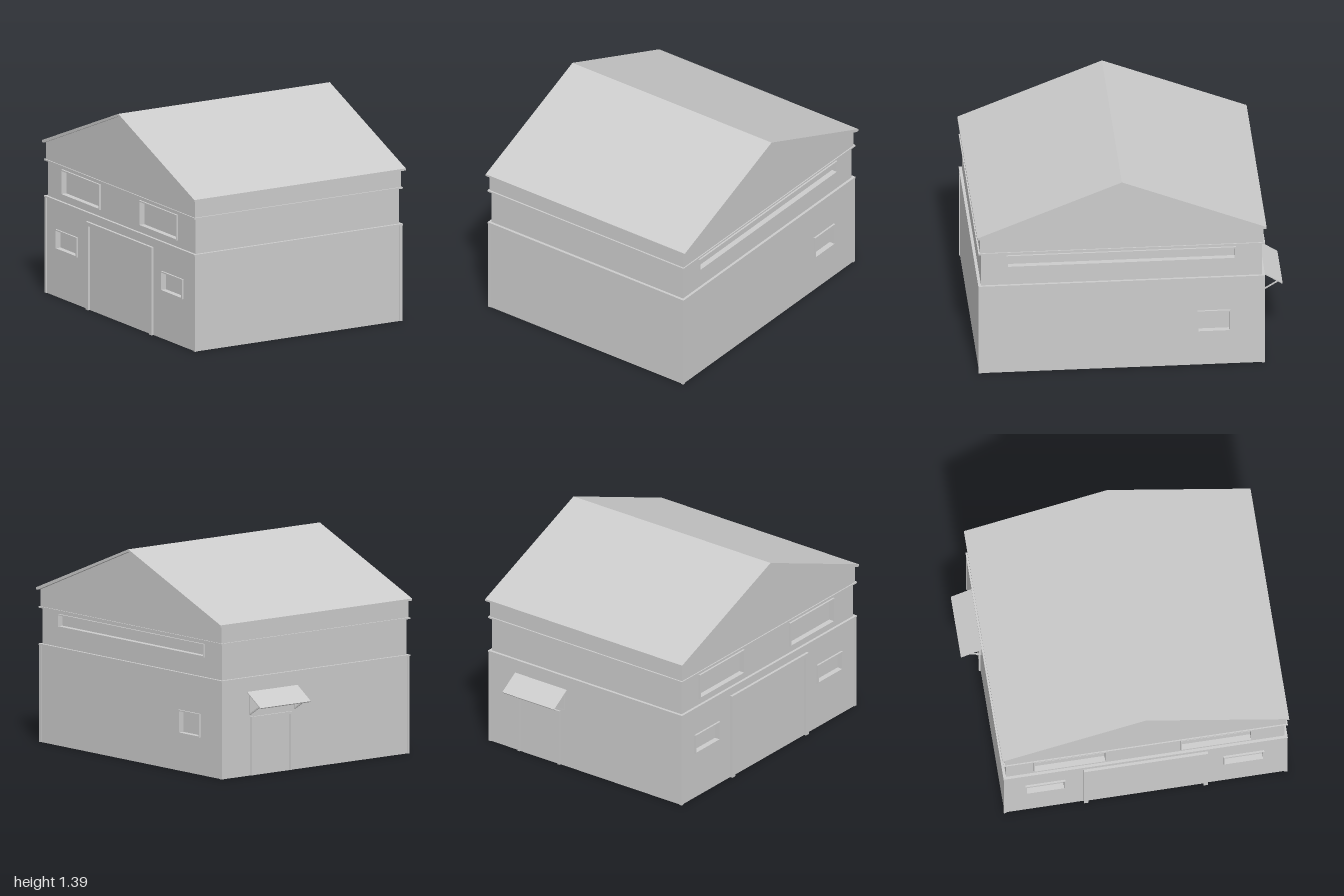
import * as THREE from 'three';

const MAT = new THREE.MeshStandardMaterial({ color: 0xcccccc, side: THREE.DoubleSide, flatShading: true });
const CX = -0.004, CZ = 0.06; // centre of the walls

export function createModel() {
  const root = new THREE.Group();
  root.name = 'warehouse';

  const add = (name, geo, parent = root) => {
    const m = new THREE.Mesh(geo, MAT);
    m.name = name;
    parent.add(m);
    return m;
  };
  const box = (name, x0, x1, y0, y1, z0, z1, parent = root) =>
    add(name, new THREE.BoxGeometry(x1 - x0, y1 - y0, z1 - z0), parent)
      .position.set((x0 + x1) / 2, (y0 + y1) / 2, (z0 + z1) / 2);
  const poly = pts => new THREE.Shape(pts.map(p => new THREE.Vector2(...p)));
  const rect = (a, b, c, d) => [[a, c], [b, c], [b, d], [a, d]];

  // A group whose local +z is the outward direction of one wall
  const face = (name, angle, x, z) => {
    const g = new THREE.Group();
    g.name = name;
    g.rotation.y = angle;
    g.position.set(x, 0, z);
    root.add(g);
    return g;
  };

  // Framed window: rim standing proud of the wall, pane set back
  const frame = (name, parent, [a, b, c, d], rim, out, depth) => {
    const s = poly(rect(a, b, c, d));
    s.holes.push(poly(rect(a + rim, b - rim, c + rim, d - rim)));
    add(name + 'Frame', new THREE.ExtrudeGeometry(s, { depth: out + depth, bevelEnabled: false }), parent)
      .position.z = -depth;
    add(name + 'Pane', new THREE.ShapeGeometry(poly(rect(a, b, c, d))), parent).position.z = -depth;
  };

  // Three storeys of wall: bottom, top, half width, half depth
  const tiers = [
    { name: 'lower', y0: 0, y1: 0.64, hx: 0.780, hz: 0.922 },
    { name: 'middle', y0: 0.64, y1: 0.885, hx: 0.772, hz: 0.910 },
    { name: 'upper', y0: 0.885, y1: 1.005, hx: 0.782, hz: 0.918 },
  ];
  // Windows as z0, z1, y0, y1
  const windows = {
    1: { lower: [[-0.645, -0.43, 0.245, 0.4]], middle: [[-0.68, 0.805, 0.775, 0.862]], upper: [] },
    '-1': {
      lower: [[-0.726, -0.465, 0.318, 0.45], [0.57, 0.835, 0.318, 0.45]],
      middle: [[-0.67, -0.195, 0.69, 0.86], [0.29, 0.757, 0.69, 0.86]],
      upper: [],
    },
  };

  for (const { name, y0, y1, hx, hz } of tiers) {
    // Front and back walls
    for (const s of [1, -1]) {
      const g = face(name + (s > 0 ? 'Front' : 'Back'), s > 0 ? 0 : Math.PI, CX, CZ + s * hz);
      add(name + 'Wall', new THREE.ShapeGeometry(poly(rect(-hx, hx, y0, y1))), g);
    }
    // Side walls with window openings; the upper one rises into the gable
    for (const s of [1, -1]) {
      const g = face(name + (s > 0 ? 'Left' : 'Right'), s * Math.PI / 2, CX + s * hx, CZ);
      const pts = rect(-hz, hz, y0, y1);
      if (name === 'upper') pts.splice(3, 0, [0, 1.372]);
      const shape = poly(pts);
      for (const [z0, z1, a, b] of windows[s][name]) {
        const u = [-s * (z0 - CZ), -s * (z1 - CZ)].sort((p, q) => p - q);
        const rim = 0.008;
        shape.holes.push(poly(rect(u[0] + rim, u[1] - rim, a + rim, b - rim)));
        frame(name + 'Window', g, [u[0], u[1], a, b], rim, 0.013, 0.025);
      }
      add(name + 'Wall', new THREE.ShapeGeometry(shape), g);
    }
  }

  // Ledges running round the building
  const ledge = (name, y, h, hx, hz) => {
    const s = poly(rect(-hx, hx, -hz, hz));
    s.holes.push(poly(rect(-0.768, 0.768, -0.906, 0.906)));
    const m = add(name, new THREE.ExtrudeGeometry(s, { depth: h, bevelEnabled: false }));
    m.rotation.x = -Math.PI / 2;
    m.position.set(CX, y, CZ);
  };
  ledge('lowerLedge', 0.636, 0.01, 0.79, 0.929);
  ledge('upperLedge', 0.88, 0.01, 0.79, 0.929);

  // Corner posts
  for (const sx of [1, -1]) for (const sz of [1, -1]) {
    const x = CX + sx * 0.777, z = CZ + sz * 0.918;
    box('cornerPost', x - 0.009, x + 0.009, 0, 0.636, z - 0.009, z + 0.009);
  }

  // Gabled roof: thin folded sheet with a small upright eave edge
  const E = 0.937, roof = poly([
    [-E, 1.0], [-E + 0.018, 1.0], [0, 1.372], [E - 0.018, 1.0], [E, 1.0],
    [E, 1.014], [0, 1.388], [-E, 1.014],
  ]);
  const roofMesh = add('roof', new THREE.ExtrudeGeometry(roof, { depth: 1.604, bevelEnabled: false }));
  roofMesh.rotation.y = Math.PI / 2;
  roofMesh.position.set(-0.802, 0, CZ);

  // Large loading door on the right side
  const wx = CX - 0.78;
  for (const z of [-0.344, 0.437]) box('loadingDoorPost', -0.802, wx + 0.01, 0, 0.585, z, z + 0.03);
  box('loadingDoorLintel', -0.802, wx + 0.01, 0.56, 0.585, -0.344, 0.467);
  box('loadingDoor', wx - 0.003, wx + 0.003, 0, 0.56, -0.32, 0.44);

  // Back door
  const bz = CZ - 0.922;
  for (const x of [0.2, 0.525]) box('backDoorPost', x, x + 0.015, 0, 0.385, bz - 0.012, bz + 0.005);
  box('backDoorLintel', 0.2, 0.54, 0.37, 0.385, bz - 0.012, bz + 0.005);
  box('backDoor', 0.215, 0.525, 0, 0.37, bz - 0.003, bz + 0.003);

  // Awning over the back door, with wall brackets
  const bar = (name, x0, x1, [za, ya], [zb, yb], t) => {
    const len = Math.hypot(zb - za, yb - ya);
    const m = add(name, new THREE.BoxGeometry(x1 - x0, t, len));
    m.position.set((x0 + x1) / 2, (ya + yb) / 2, (za + zb) / 2);
    m.rotation.x = -Math.atan2(yb - ya, zb - za);
  };
  bar('awning', 0.147, 0.568, [bz, 0.548], [-0.998, 0.459], 0.007);
  for (const x of [0.165, 0.542]) {
    bar('awningStrut', x, x + 0.008, [bz, 0.4], [-0.975, 0.47], 0.008);
    box('awningUpright', x, x + 0.008, 0.4, 0.545, bz - 0.006, bz);
  }
  return root;
}
